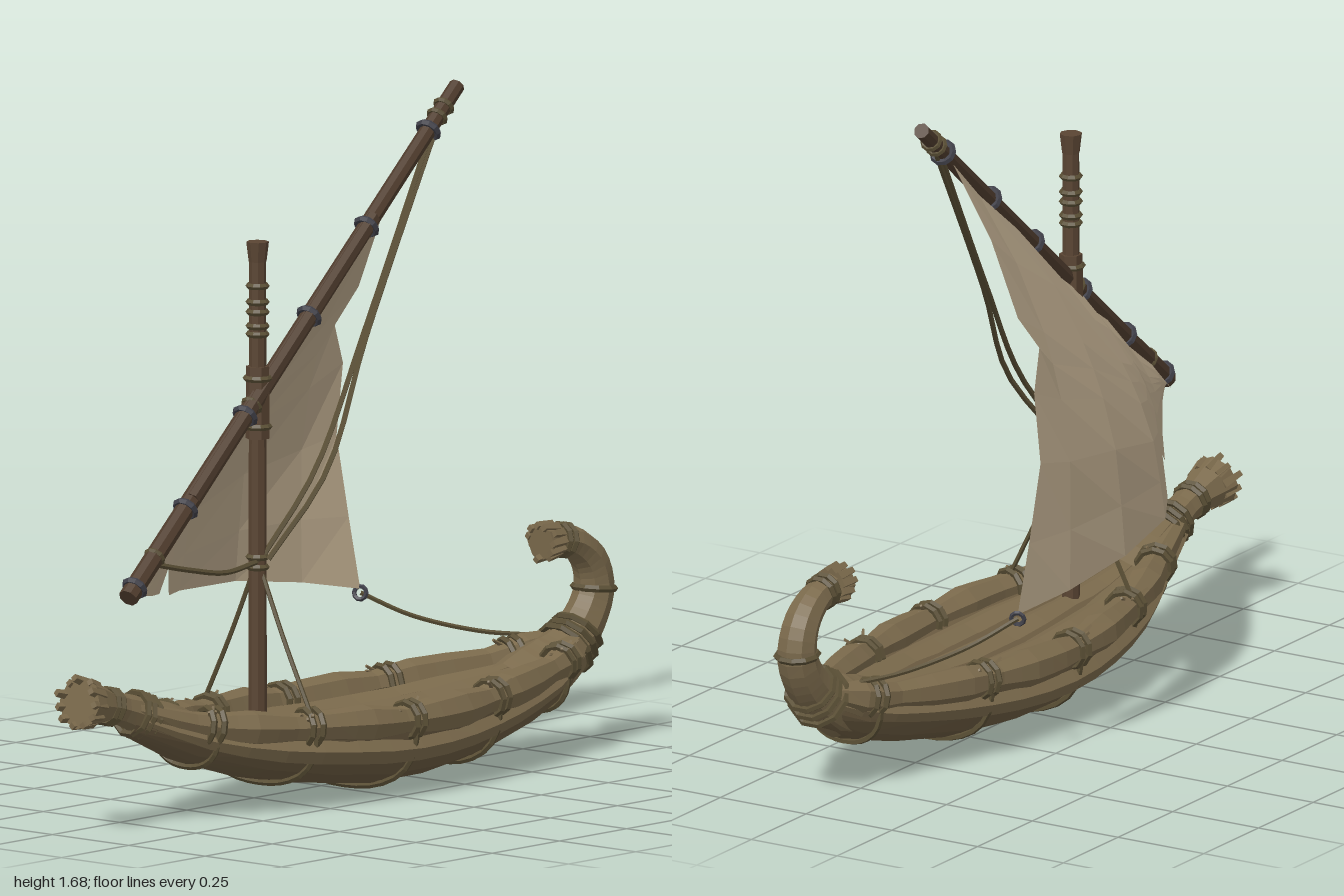
import * as THREE from 'three';

const V = (x, y, z) => new THREE.Vector3(x, y, z);
const mat = (name, color, extra = {}) => Object.assign(new THREE.MeshStandardMaterial({ color, flatShading: true, ...extra }), { name });
const CX = 0.06; // hull centreline

// hull stations: z, half width, keel height, rim height
const STATIONS = [
  [0.80, 0.055, 0.24, 0.30], [0.60, 0.105, 0.15, 0.24], [0.40, 0.175, 0.09, 0.215], [0.20, 0.225, 0.05, 0.205],
  [0.00, 0.247, 0.025, 0.195], [-0.20, 0.237, 0.025, 0.195], [-0.40, 0.205, 0.045, 0.205], [-0.60, 0.155, 0.085, 0.22],
  [-0.75, 0.11, 0.13, 0.24], [-0.88, 0.06, 0.20, 0.28],
];
function station(z) {
  let i = 0;
  while (i < STATIONS.length - 2 && z < STATIONS[i + 1][0]) i++;
  const a = STATIONS[i], b = STATIONS[i + 1], t = THREE.MathUtils.clamp((z - a[0]) / (b[0] - a[0]), 0, 1);
  const [, w, keel, rim] = a.map((v, k) => v + (b[k] - v) * t);
  return { w, keel, rim };
}
// bowl-shaped half section from +x rim under the keel to -x rim
function section(z, grow = 0) {
  const { w, keel, rim } = station(z);
  return Array.from({ length: 9 }, (_, j) => {
    const a = Math.PI * j / 8, c = Math.cos(a);
    return V(CX + (w - 0.014 + grow) * Math.sign(c) * Math.pow(Math.abs(c), 0.9), rim - (rim - keel + grow) * Math.pow(Math.sin(a), 0.75), z);
  });
}
// surface through rows of points
function loft(rows, wrap) {
  const n = rows[0].length, idx = [];
  for (let i = 0; i < rows.length - 1; i++) for (let j = 0; j < (wrap ? n : n - 1); j++) {
    const k = (j + 1) % n, a = i * n + j, c = i * n + k, b = a + n, d = c + n;
    idx.push(a, c, b, b, c, d);
  }
  const g = new THREE.BufferGeometry().setFromPoints(rows.flat());
  g.setIndex(idx);
  g.computeVertexNormals();
  return g;
}
// tube whose radius follows a list; flatEnd closes the far end with a flat cap
function sweep(curve, radii, n = 12, sides = 7, flatEnd = false) {
  const g = new THREE.TubeGeometry(curve, n, 1, sides), p = g.attributes.position, v = V(0, 0, 0);
  for (let i = 0; i <= n; i++) {
    const f = i / n * (radii.length - 1), k = Math.min(Math.floor(f), radii.length - 2);
    const last = flatEnd && i === n;
    const r = last ? 0 : radii[k] + (radii[k + 1] - radii[k]) * (f - k);
    const c = curve.getPointAt(i / n), out = last ? curve.getPointAt((n - 1) / n) : c;
    for (let j = 0; j <= sides; j++) {
      const q = i * (sides + 1) + j;
      v.fromBufferAttribute(p, q).sub(c).multiplyScalar(r).add(out);
      p.setXYZ(q, v.x, v.y, v.z);
    }
  }
  g.computeVertexNormals();
  return g;
}

export function createModel() {
  const root = new THREE.Group();
  root.name = 'reedBoat';
  const reed = mat('reed', 0x7b6a4c), hullMat = mat('darkReed', 0x6a5a40), wood = mat('mastWood', 0x5a4533);
  const yardMat = mat('yardWood', 0x503d2e), rope = mat('rope', 0x5a4f35), band = mat('band', 0x41414a);
  const cloth = mat('sailCloth', 0xb8a68a, { side: THREE.DoubleSide });
  let seed = 7;
  const rnd = () => (seed = (seed * 16807) % 2147483647) / 2147483647;

  const add = (name, geo, m) => {
    const mesh = new THREE.Mesh(geo, m);
    mesh.name = name;
    root.add(mesh);
    return mesh;
  };
  const path = pts => new THREE.CatmullRomCurve3(pts);
  const line = (name, pts, r = 0.007) => add(name, new THREE.TubeGeometry(path(pts), 16, r, 5), rope);
  const rod = (name, a, b, r0, r1, m, sides = 8) => {
    const mesh = add(name, new THREE.CylinderGeometry(r1, r0, a.distanceTo(b), sides), m);
    mesh.position.copy(a).lerp(b, 0.5);
    mesh.quaternion.setFromUnitVectors(V(0, 1, 0), b.clone().sub(a).normalize());
  };
  const ring = (name, pos, dir, r, tube = 0.009, m = rope) => {
    const mesh = add(name, new THREE.TorusGeometry(r, tube, 5, 10), m);
    mesh.position.copy(pos);
    mesh.quaternion.setFromUnitVectors(V(0, 0, 1), dir.clone().normalize());
  };

  // hull bowl with flat deck
  add('hull', loft(STATIONS.map(s => section(s[0])), true), hullMat);

  // broad, low reed bundles lying along the deck
  for (const f of [-0.52, 0, 0.52]) {
    const pts = [0.72, 0.45, 0.15, -0.15, -0.45, -0.75].map(z => {
      const s = station(z);
      return V(CX + f * (s.w - 0.03), s.rim - 0.2 * s.w, z);
    });
    add('deckBundle', sweep(path(pts), [0.015, 0.047, 0.064, 0.066, 0.055, 0.025], 10, 8), reed);
  }

  // rim bundles, a second row beneath, and their lashings
  const lashZ = [0.57, 0.3, -0.02, -0.37, -0.73];
  for (const s of [-1, 1]) {
    const edge = (z, inset, drop) => {
      const h = station(z);
      return V(CX + s * (h.w - inset), h.rim - drop, z);
    };
    const zs = [0.78, 0.6, 0.4, 0.2, 0, -0.2, -0.4, -0.6, -0.75, -0.87];
    add('rimBundle', sweep(path(zs.map(z => edge(z, 0.037, -0.008))),
      [0.02, 0.03, 0.036, 0.046, 0.037, 0.04, 0.048, 0.036, 0.046, 0.05, 0.036, 0.048, 0.044, 0.034, 0.047, 0.02], 30, 7), reed);
    add('lowerBundle', sweep(path(zs.map(z => edge(z, 0.012 + 0.12 * station(z).w, 0.26 * station(z).w))), [0.008, 0.022, 0.032, 0.036, 0.036, 0.036, 0.034, 0.03, 0.022, 0.008], 16, 6), reed);
    for (const z of lashZ) {
      const dir = edge(z - 0.05, 0.035, 0).sub(edge(z + 0.05, 0.035, 0));
      for (const o of [-0.014, 0.014]) ring('rimLashing', edge(z + o, 0.037, -0.008), dir, 0.044);
      // loose reed ends
      for (let k = 0; k < 4; k++) {
        const a = edge(z, 0.03, -0.02);
        rod('looseReed', a, a.clone().add(V(s * (rnd() * 0.05 - 0.015), 0.015 + rnd() * 0.025, (rnd() - 0.5) * 0.14)), 0.008, 0.004, reed, 4);
      }
    }
  }
  // ropes running right under the hull
  for (const z of lashZ) line('hullRope', section(z, 0.006), 0.008);

  // frayed reed ends at the tip of a bundle
  const fray = (curve, r) => {
    const end = curve.getPointAt(0.94), d = curve.getTangentAt(1);
    const side = V(1, 0, 0), up = d.clone().cross(side).normalize();
    for (let k = 0; k < 11; k++) {
      const a = k / 11 * Math.PI * 2;
      const o = side.clone().multiplyScalar(Math.cos(a)).addScaledVector(up, Math.sin(a));
      rod('frayedReed', end.clone().addScaledVector(o, r * 0.8).addScaledVector(d, -0.03),
        end.clone().addScaledVector(o, r).addScaledVector(d, 0.01 + rnd() * 0.025), 0.014, 0.01, reed, 4);
    }
  };
  // prow bundle
  const prow = path([V(CX, 0.2, 0.55), V(CX, 0.265, 0.7), V(CX, 0.315, 0.84), V(CX, 0.345, 0.985)]);
  add('prow', sweep(prow, [0.06, 0.064, 0.06, 0.052, 0.046, 0.04, 0.042, 0.058, 0.07], 24, 8, true), reed);
  for (const t of [0.42, 0.47, 0.52, 0.7, 0.74]) ring('prowLashing', prow.getPointAt(t), prow.getTangentAt(t), t < 0.6 ? 0.054 : 0.042);
  fray(prow, 0.06);

  // curled stern bundle
  const stern = path([V(CX, 0.19, -0.62), V(CX, 0.225, -0.78), V(CX, 0.30, -0.89), V(CX, 0.39, -0.945), V(CX, 0.465, -0.93), V(CX, 0.515, -0.875), V(CX, 0.533, -0.8), V(CX, 0.53, -0.725)]);
  add('stern', sweep(stern, [0.06, 0.075, 0.08, 0.07, 0.058, 0.053, 0.05, 0.046, 0.04, 0.033, 0.05], 30, 8, true), reed);
  for (const t of [0.33, 0.37, 0.41, 0.58, 0.84, 0.87]) ring('sternLashing', stern.getPointAt(t), stern.getTangentAt(t), t < 0.45 ? 0.073 - (t - 0.33) * 0.12 : t < 0.7 ? 0.051 : 0.038);
  fray(stern, 0.043);

  // mast
  const MZ = 0.305, up = V(0, 1, 0), onMast = y => V(CX, y, MZ);
  rod('mast', onMast(0.14), onMast(1.38), 0.023, 0.021, wood);
  rod('mastHead', onMast(1.36), onMast(1.41), 0.022, 0.028, wood);
  rod('mastSplint', onMast(0.92), onMast(1.1), 0.03, 0.029, wood, 6);
  for (const y of [0.6, 0.625, 0.95, 1.07, 1.18, 1.2, 1.235, 1.26, 1.3]) ring('mastLashing', onMast(y), up, y > 0.9 && y < 1.1 ? 0.029 : 0.022, 0.008);

  // slanted yard with bands
  const Y0 = V(0.16, 0.605, 0.9), Y1 = V(-0.075, 1.675, -0.59), yDir = Y1.clone().sub(Y0);
  const onYard = z => Y0.clone().addScaledVector(yDir, (0.9 - z) / 1.49);
  rod('yard', Y0, Y1, 0.025, 0.02, yardMat);
  rod('yardSplint', onYard(0.62).add(V(0.008, 0.008, 0)), onYard(-0.2).add(V(0.008, 0.008, 0)), 0.018, 0.018, yardMat, 6);
  for (const z of [0.87, 0.64, 0.37, 0.08, -0.18, -0.46]) ring('yardBand', onYard(z), yDir, 0.026, 0.009, band);
  for (const z of [0.78, 0.34, -0.5, -0.53]) ring('yardLashing', onYard(z), yDir, 0.022, 0.007);

  // billowing sail: columns run from the yard down to the torn foot
  const foot = [[0.15, 0.61, 0.88], [0.09, 0.588, 0.77], [0.0, 0.56, 0.63], [-0.09, 0.54, 0.5], [-0.14, 0.587, 0.41], [-0.2, 0.505, 0.34],
    [-0.27, 0.495, 0.22], [-0.325, 0.48, -0.05], [-0.31, 0.45, -0.28], [-0.26, 0.42, -0.44]];
  const drops = [0, 0.16, 0.33, 0.41, 0.5, 0.66, 0.84, 1];
  const belly = [0, 0.62, 0.95, 1, 1, 0.85, 0.42, 0];
  const notch = [0, 0.01, 0.02, 0.085, 0.035, 0.045, 0.02, 0];
  const cols = foot.map(([x, y, z], i) => {
    const u = i / (foot.length - 1), top = onYard(Math.max(z, -0.45)).add(V(-0.02, -0.018 - (i % 2 ? 0 : 0.012), 0));
    return drops.map((v, k) => {
      const p = top.clone().lerp(V(x, y, z), v);
      p.x -= 0.12 * u * belly[k];
      if (i === foot.length - 1) p.z += notch[k];
      return p;
    });
  });
  add('sail', loft(cols, false), cloth);

  // rigging
  line('halyard', [onYard(-0.53), V(0.05, 1.12, -0.11), V(0.13, 0.82, 0.13), V(0.09, 0.62, 0.3)]);
  line('halyard', [onYard(-0.49), V(0.035, 1.13, -0.12), V(0.1, 0.82, 0.14), V(0.075, 0.62, 0.31)]);
  line('tackLine', [onYard(0.8), V(0.13, 0.64, 0.64), V(0.1, 0.61, 0.47), V(0.07, 0.615, 0.32)]);
  for (const s of [-1, 1]) line('shroud', [V(CX, 0.62, MZ), V(CX + s * 0.085, 0.43, MZ), V(CX + s * 0.18, 0.24, MZ)], 0.006);
  line('sheet', [V(-0.26, 0.41, -0.44), V(-0.18, 0.35, -0.54), V(-0.08, 0.305, -0.68), V(0.0, 0.29, -0.79)], 0.006);
  ring('clewRing', V(-0.26, 0.41, -0.44), V(0.4, 0.2, 1), 0.016, 0.006, band);

  return root;
}
